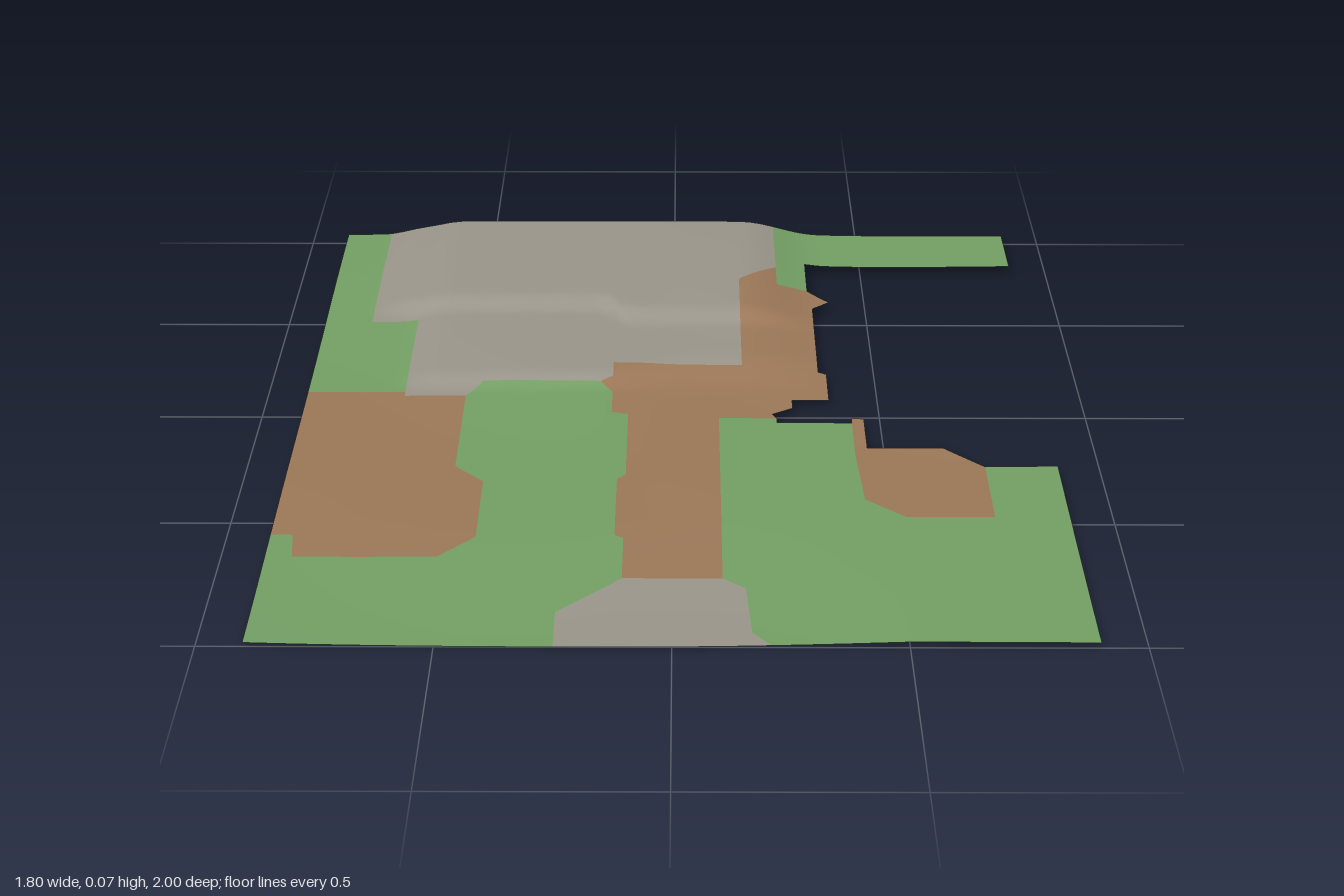
import * as THREE from 'three';
import { mergeVertices } from 'three/addons/utils/BufferGeometryUtils.js';

const MAX_EDGE = 0.035;

// Smooth ramp from 0 at a to 1 at b (a may be larger than b)
function ramp(a, b, v) {
  const t = Math.min(1, Math.max(0, (v - a) / (b - a)));
  return t * t * (3 - 2 * t);
}

// Ground height: gentle meadow at the front, two terraces rising to the back
function height(x, z) {
  const back = ramp(0.25, -0.9, z);
  const swell = Math.max(0, 1 - ((x + 0.2) / 0.75) ** 2);
  let y = 0.018 + 0.012 * back + 0.006 * back * swell;
  y -= 0.014 * ramp(0.5, 1, z) * Math.max(0, 1 - ((x + 0.25) / 0.75) ** 2);
  y += 0.002 * Math.sin(x * 7 + 1) * Math.sin(z * 6);

  // Lower terrace: steep lip on the left, softer slope under the path
  const side = ramp(-0.2, 0.05, x);
  const lip = -0.14 - 0.1 * side;
  const lower = ramp(lip + 0.04 + 0.1 * side, lip - 0.04, z);
  y += 0.017 * lower * ramp(-0.7, -0.58, x) * ramp(0.42, 0.18, x);

  // Upper terrace
  const edge = -0.52 + 0.07 * ramp(-0.2, -0.1, x);
  const upper = ramp(edge + 0.04, edge - 0.04, z);
  y += 0.021 * upper * ramp(-0.8, -0.67, x) * ramp(0.38, 0.18, x);
  return Math.max(0, y);
}

// Triangulate an x,z outline, split long edges and drape it over the ground
function patch(outline) {
  const pts = outline.map(([x, z]) => new THREE.Vector2(x, z));
  const positions = [];
  const split = (a, b, c) => {
    const ab = a.distanceTo(b), bc = b.distanceTo(c), ca = c.distanceTo(a);
    const longest = Math.max(ab, bc, ca);
    if (longest > MAX_EDGE) {
      if (longest === bc) [a, b, c] = [b, c, a];
      else if (longest === ca) [a, b, c] = [c, a, b];
      const m = a.clone().add(b).multiplyScalar(0.5);
      split(a, m, c);
      split(m, b, c);
      return;
    }
    for (const p of [a, b, c]) positions.push(p.x, height(p.x, p.y), p.y);
  };
  for (const [i, j, k] of THREE.ShapeUtils.triangulateShape(pts, [])) {
    const a = pts[i], b = pts[j], c = pts[k];
    const up = (b.y - a.y) * (c.x - a.x) - (b.x - a.x) * (c.y - a.y) > 0;
    if (up) split(a, b, c);
    else split(a, c, b);
  }
  let geometry = new THREE.BufferGeometry();
  geometry.setAttribute('position', new THREE.Float32BufferAttribute(positions, 3));
  geometry = mergeVertices(geometry, 1e-5);

  // Normals follow the height rule, so neighbouring patches shade seamlessly
  const pos = geometry.attributes.position, normals = [], n = new THREE.Vector3(), d = 0.008;
  for (let i = 0; i < pos.count; i++) {
    const x = pos.getX(i), z = pos.getZ(i);
    n.set(height(x - d, z) - height(x + d, z), 2 * d, height(x, z - d) - height(x, z + d)).normalize();
    normals.push(n.x, n.y, n.z);
  }
  geometry.setAttribute('normal', new THREE.Float32BufferAttribute(normals, 3));
  return geometry;
}

export function createModel() {
  const group = new THREE.Group();
  group.name = 'terrain';

  const material = (name, color) =>
    new THREE.MeshStandardMaterial({ name, color, side: THREE.DoubleSide });
  const grass = material('grass green', 0x74a065);
  const dirt = material('dirt brown', 0x9c7858);
  const stone = material('stone grey', 0x9a958a);

  // Borders shared by neighbouring patches
  const dirtFieldEdge = [[-0.51, -0.08], [-0.51, 0.26], [-0.44, 0.33], [-0.44, 0.58],
    [-0.52, 0.66], [-0.84, 0.66], [-0.85, 0.57], [-0.9, 0.57]];
  const pathLeft = [[-0.18, -0.14], [-0.15, -0.1], [-0.15, 0], [-0.11, 0.01], [-0.11, 0.3],
    [-0.13, 0.32], [-0.13, 0.57], [-0.11, 0.58], [-0.11, 0.74]];
  const pavingLeft = [[-0.11, 0.74], [-0.13, 0.76], [-0.25, 0.87], [-0.25, 1]];
  const pavingRight = [[0.21, 1], [0.17, 0.95], [0.16, 0.78], [0.11, 0.74]];
  const hollowEdge = [[0.43, 0.05], [0.43, 0.2], [0.44, 0.41], [0.53, 0.49], [0.73, 0.49], [0.73, 0.26]];

  const parts = [
    ['stoneTerrace', stone, [[-0.78, -1], [0.27, -1], [0.27, -0.74], [0.17, -0.64], [0.17, -0.22],
      [-0.15, -0.22], [-0.15, -0.16], [-0.18, -0.14], [-0.47, -0.14], [-0.51, -0.08],
      [-0.66, -0.08], [-0.66, -0.47], [-0.78, -0.47]]],
    ['frontPaving', stone, [...pavingLeft, ...pavingRight]],
    ['dirtPath', dirt, [...pathLeft, [0.11, 0.74], [0.11, 0.03], [0.25, 0.03], [0.24, 0.01],
      [0.29, -0.02], [0.29, -0.06], [0.38, -0.06], [0.38, -0.19], [0.36, -0.2], [0.36, -0.54],
      [0.405, -0.585], [0.35, -0.64], [0.27, -0.64], [0.27, -0.74], [0.17, -0.64], [0.17, -0.22],
      [-0.15, -0.22], [-0.15, -0.16]]],
    ['dirtField', dirt, [[-0.9, -0.1], [-0.66, -0.1], [-0.66, -0.08], ...dirtFieldEdge]],
    ['dirtHollow', dirt, [...hollowEdge, [0.64, 0.17], [0.46, 0.17], [0.46, 0.03], [0.43, 0.03]]],
    ['backRightGrass', grass, [[-0.9, -1], [-0.78, -1], [-0.78, -0.47], [-0.66, -0.47],
      [-0.66, -0.1], [-0.9, -0.1]]],
    ['backLeftGrass', grass, [[0.27, -1], [0.9, -1], [0.9, -0.8], [0.35, -0.8], [0.35, -0.64],
      [0.27, -0.64]]],
    ['frontRightGrass', grass, [...dirtFieldEdge.slice().reverse(), [-0.47, -0.14], ...pathLeft,
      ...pavingLeft.slice(1), [-0.9, 1]]],
    ['frontLeftGrass', grass, [[0.11, 0.03], [0.25, 0.03], [0.25, 0.05], ...hollowEdge,
      [0.9, 0.26], [0.9, 1], ...pavingRight]],
  ];
  for (const [name, mat, outline] of parts) {
    const mesh = new THREE.Mesh(patch(outline), mat);
    mesh.name = name;
    group.add(mesh);
  }
  return group;
}
